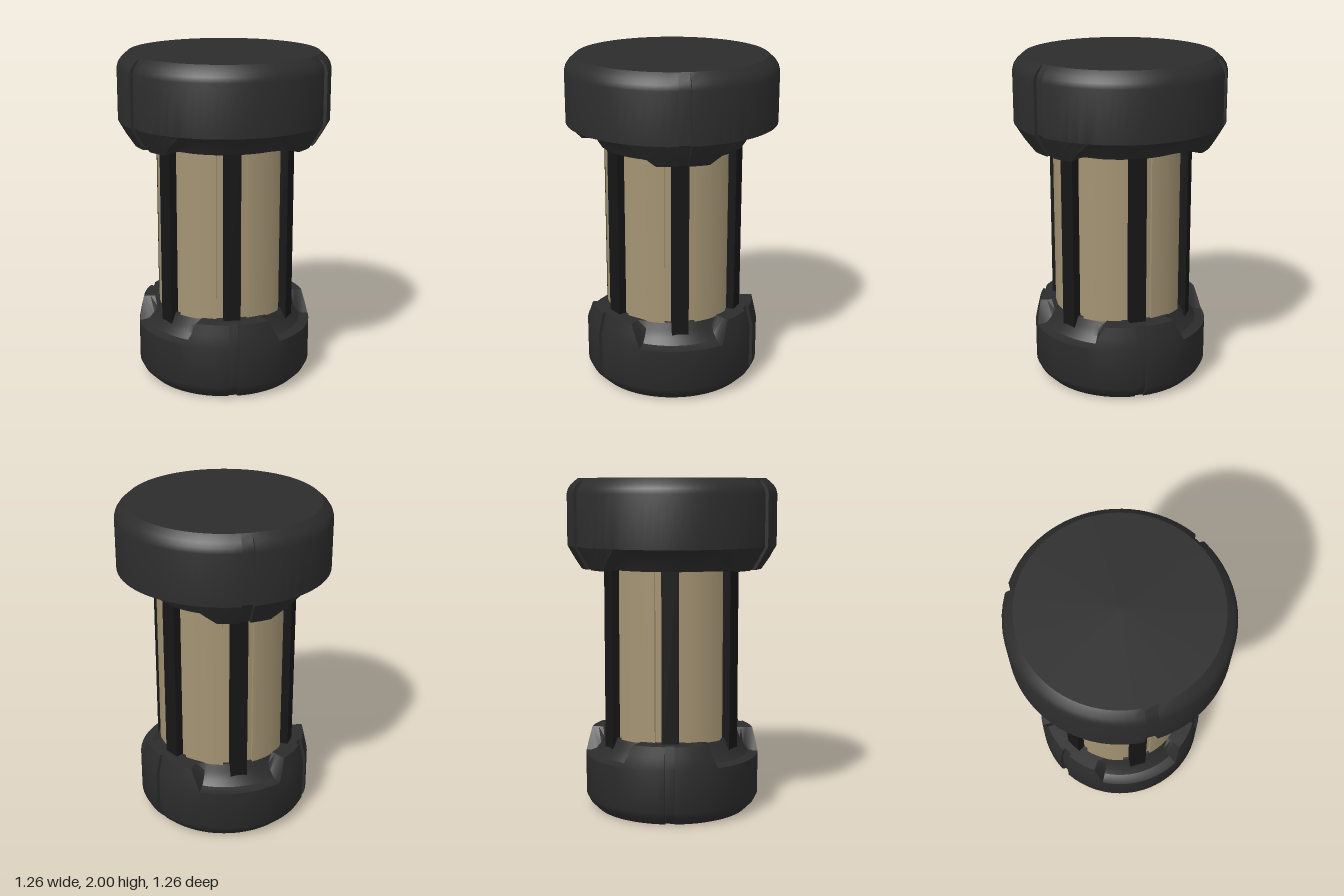
import * as THREE from 'three';
import { toCreasedNormals } from 'three/addons/utils/BufferGeometryUtils.js';

const DEG = Math.PI / 180;
const black = new THREE.MeshStandardMaterial({ color: 0x2c2c2c });
const ribBlack = new THREE.MeshStandardMaterial({ color: 0x161616 });
const tan = new THREE.MeshStandardMaterial({ color: 0xa39373 });

// Ring with three grooved lugs and three scooped notches between them.
// Profile rows run counter-clockwise (bottom to top on the outside):
// [lug radius, lug y, notch radius, notch y, groove depth, lug-edge blend 0..1]
function lugRing(rows, turn, wideEdge, narrowEdge) {
  const groove = 3.2;
  const columns = [];
  for (let s = 0; s < 3; s++) {
    const half = [];
    const steps = 7;
    for (let i = 0; i <= steps; i++) {
      half.push({ kind: 'notch', angle: () => 60 + (wideEdge - 60) * (i / steps) });
    }
    for (let i = 0; i <= 5; i++) {
      half.push({
        kind: 'lug',
        angle: (t) => {
          const edge = wideEdge + (narrowEdge - wideEdge) * t;
          return edge + (groove - edge) * (i / 5);
        },
      });
    }
    half.push({ kind: 'groove', angle: () => groove });
    const add = (c, sign) => columns.push(rows.map(([lr, ly, nr, ny, depth, t]) => {
      const a = (turn + s * 120 + sign * c.angle(t)) * DEG;
      const r = c.kind === 'notch' ? nr : c.kind === 'groove' ? lr - depth : lr;
      const y = c.kind === 'notch' ? ny : ly;
      return new THREE.Vector3(r * Math.sin(a), y, r * Math.cos(a));
    }));
    half.forEach((c) => add(c, -1));
    half.reverse().forEach((c) => add(c, 1));
  }

  const points = [];
  const triangle = (a, b, c) => {
    const area = b.clone().sub(a).cross(c.clone().sub(a)).length();
    if (area > 1e-9) points.push(a, b, c);
  };
  columns.forEach((col, i) => {
    const next = columns[(i + 1) % columns.length];
    for (let j = 0; j < rows.length - 1; j++) {
      triangle(col[j], next[j], next[j + 1]);
      triangle(col[j], next[j + 1], col[j + 1]);
    }
  });
  return toCreasedNormals(new THREE.BufferGeometry().setFromPoints(points), 28 * DEG);
}

// A row that is the same on lugs and notches
const plain = (r, y, depth = 0) => [r, y, r, y, depth, 0];

export function createModel() {
  const model = new THREE.Group();
  const add = (name, geometry, material) => {
    const mesh = new THREE.Mesh(geometry, material);
    mesh.name = name;
    model.add(mesh);
    return mesh;
  };

  // Wide top cap, lugs hanging down
  add('topCap', lugRing([
    [0.25, 1.47, 0.25, 1.47, 0, 1],
    [0.43, 1.47, 0.43, 1.47, 0, 1],
    [0.47, 1.47, 0.455, 1.51, 0, 1],
    [0.51, 1.47, 0.50, 1.57, 0, 1],
    [0.55, 1.47, 0.54, 1.595, 0.02, 1],
    [0.59, 1.535, 0.58, 1.605, 0.02, 0.5],
    plain(0.63, 1.605, 0.02),
    plain(0.63, 1.91, 0.02),
    plain(0.622, 1.94, 0.02),
    plain(0.605, 1.965, 0.02),
    plain(0.565, 2),
    plain(0, 2),
  ], 0, 30, 16), black);

  // Narrower base, lugs pointing up, dished underneath
  add('base', lugRing([
    plain(0.27, 0.14),
    plain(0.275, 0.12),
    plain(0.36, 0.065),
    plain(0.44, 0),
    plain(0.465, 0, 0.015),
    plain(0.51, 0.045, 0.02),
    plain(0.53, 0.085, 0.02),
    plain(0.53, 0.335, 0.02),
    [0.515, 0.405, 0.50, 0.335, 0.02, 0.5],
    [0.50, 0.47, 0.47, 0.345, 0.02, 1],
    [0.46, 0.47, 0.44, 0.38, 0, 1],
    [0.43, 0.47, 0.42, 0.42, 0, 1],
    [0.40, 0.47, 0.40, 0.465, 0, 1],
    [0.36, 0.47, 0.36, 0.465, 0, 1],
  ], 60, 32, 25), black);

  // Hollow body with six slightly raised panels
  const outline = new THREE.Shape();
  for (let i = 0; i < 6; i++) {
    const mid = i * 60;
    outline.absarc(0, 0, 0.402, (mid - 17) * DEG, (mid + 17) * DEG, false);
    outline.absarc(0, 0, 0.385, (mid + 17) * DEG, (mid + 43) * DEG, false);
  }
  outline.closePath();
  const bore = new THREE.Path();
  bore.absarc(0, 0, 0.27, 0, Math.PI * 2, true);
  outline.holes.push(bore);
  const body = new THREE.ExtrudeGeometry(outline, {
    depth: 1.37, bevelEnabled: false, curveSegments: 16,
  });
  body.rotateX(-Math.PI / 2).translate(0, 0.13, 0);
  add('body', toCreasedNormals(body, 25 * DEG), tan);

  // Closed end of the bore
  const end = new THREE.CircleGeometry(0.28, 48);
  end.rotateX(Math.PI / 2).translate(0, 1.465, 0);
  add('boreEnd', end, tan);

  // Six upright ribs between the panels
  for (let i = 0; i < 6; i++) {
    const rib = new THREE.BoxGeometry(0.1, 1.2, 0.1);
    rib.translate(0, 0.95, 0.38).rotateY(i * 60 * DEG);
    add('rib', rib, ribBlack);
  }

  return model;
}
